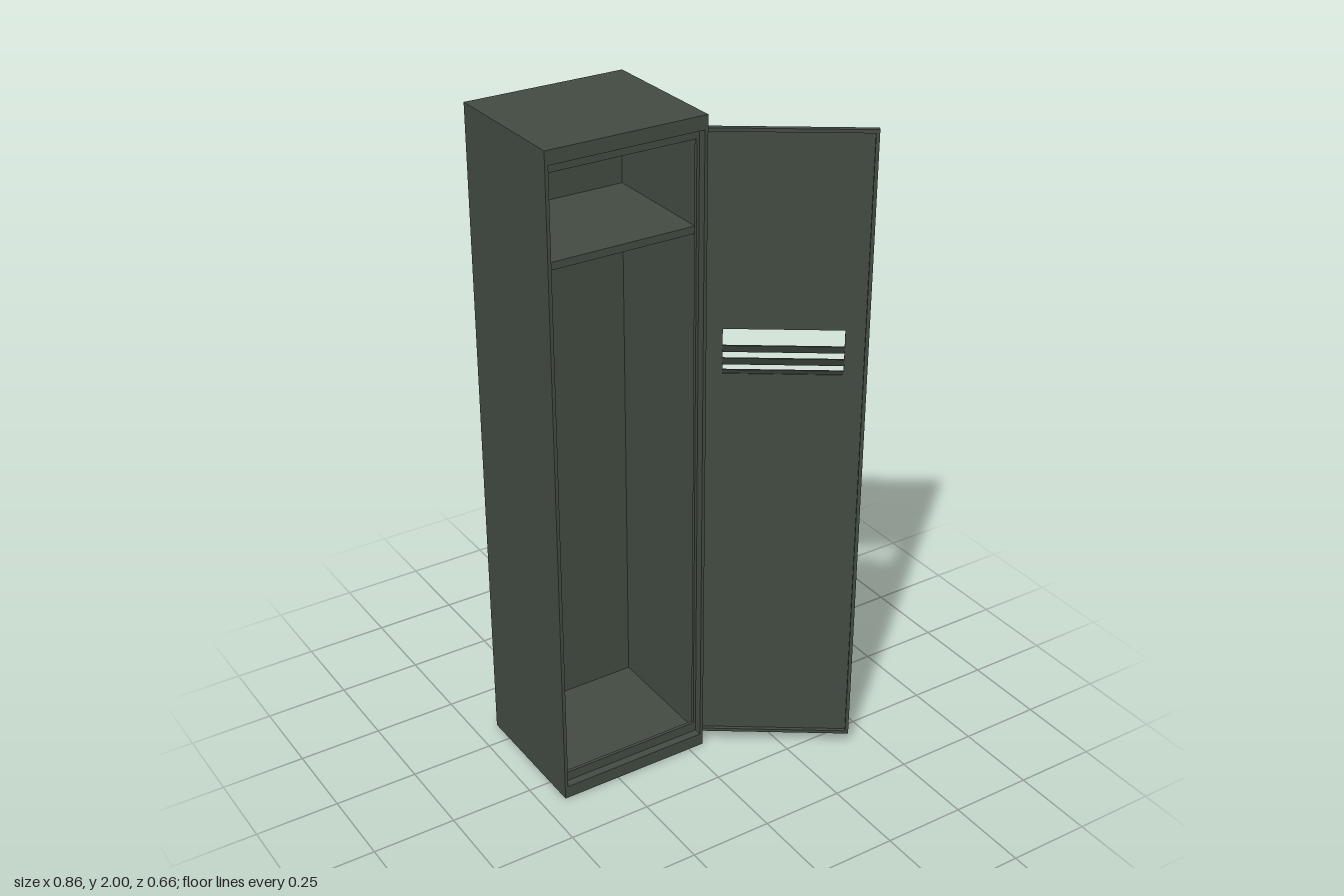
import * as THREE from 'three';

export function createModel() {
  const root = new THREE.Group();
  root.name = 'locker';
  const paint = new THREE.MeshStandardMaterial({ color: 0x414a41 });
  paint.name = 'dark green paint';

  // Box given by its min and max corners
  function box(name, parent, [x0, y0, z0], [x1, y1, z1]) {
    const m = new THREE.Mesh(new THREE.BoxGeometry(x1 - x0, y1 - y0, z1 - z0), paint);
    m.position.set((x0 + x1) / 2, (y0 + y1) / 2, (z0 + z1) / 2);
    m.name = name;
    parent.add(m);
    return m;
  }

  // Cabinet shell
  const cabinet = new THREE.Group();
  cabinet.name = 'cabinet';
  root.add(cabinet);
  const L = -0.43, R = 0.05, B = -0.33, F = 0.09, T = 0.01;
  box('rightWall', cabinet, [L, 0, B], [L + T, 2, F]);
  box('leftWall', cabinet, [R - T, 0, B], [R, 2, F]);
  box('backWall', cabinet, [L + T, 0, B], [R - T, 2, B + T]);
  box('base', cabinet, [L + T, 0, B + T], [R - T, 0.04, F]);
  box('roof', cabinet, [L + T, 1.96, B + T], [R - T, 2, F]);

  // Door stop set back inside the opening
  const zs = 0.055, ze = 0.065;
  box('bottomStop', cabinet, [L + T, 0.04, zs], [R - T, 0.07, ze]);
  box('topStop', cabinet, [L + T, 1.93, zs], [R - T, 1.96, ze]);
  box('rightStop', cabinet, [L + T, 0.07, zs], [L + 0.016, 1.93, ze]);
  box('leftStop', cabinet, [R - 0.018, 0.07, zs], [R - T, 1.93, ze]);

  // Hat shelf with folded front lip
  box('shelf', cabinet, [L + T, 1.672, B + T], [R - T, 1.68, 0.045]);
  box('shelfLip', cabinet, [L + T, 1.658, 0.037], [R - T, 1.672, 0.045]);

  // Open door: local x runs from hinge to free edge, local -z is the outer face
  const door = new THREE.Group();
  door.name = 'door';
  door.position.set(R, 0, 0.067);
  door.rotation.y = -0.605;
  root.add(door);
  const W = 0.452, y0 = 0.04, y1 = 1.96, zo = -0.008, zi = 0.008;
  const vx0 = 0.057, vx1 = 0.388, vy0 = 1.25, vy1 = 1.39;
  const rect = (S, a, b, c, d) => {
    const s = new S();
    s.moveTo(a, b); s.lineTo(c, b); s.lineTo(c, d); s.lineTo(a, d); s.closePath();
    return s;
  };
  const panelShape = rect(THREE.Shape, 0, y0, W, y1);
  panelShape.holes.push(rect(THREE.Path, vx0, vy0, vx1, vy1));
  const panel = new THREE.Mesh(
    new THREE.ExtrudeGeometry(panelShape, { depth: 0.005, bevelEnabled: false }), paint);
  panel.position.z = zo;
  panel.name = 'doorPanel';
  door.add(panel);

  // Folded rim on the inner face
  const rimShape = rect(THREE.Shape, 0, y0, W, y1);
  rimShape.holes.push(rect(THREE.Path, 0.01, y0 + 0.01, W - 0.01, y1 - 0.01));
  const rim = new THREE.Mesh(
    new THREE.ExtrudeGeometry(rimShape, { depth: zi - zo - 0.005, bevelEnabled: false }), paint);
  rim.position.z = zo + 0.005;
  rim.name = 'doorRim';
  door.add(rim);

  // Vent: hood above and sloping louvre slats
  box('ventHood', door, [vx0, 1.384, zo - 0.006], [vx1, 1.398, zo + 0.003]);
  for (const y of [1.325, 1.287, 1.252]) {
    const slat = box('ventSlat', door, [vx0, y - 0.014, -0.0075], [vx1, y + 0.014, -0.0045]);
    slat.rotation.x = 0.45;
  }

  // Latch handle near the free edge
  box('latchHandle', door, [0.422, 0.95, zo - 0.007], [0.45, 0.962, zo]);

  // Hinge barrels
  for (const y of [0.25, 1.0, 1.75]) {
    const h = new THREE.Mesh(new THREE.CylinderGeometry(0.005, 0.005, 0.07, 10), paint);
    h.position.set(R - 0.004, y, 0.068);
    h.name = 'hinge';
    root.add(h);
  }
  return root;
}
